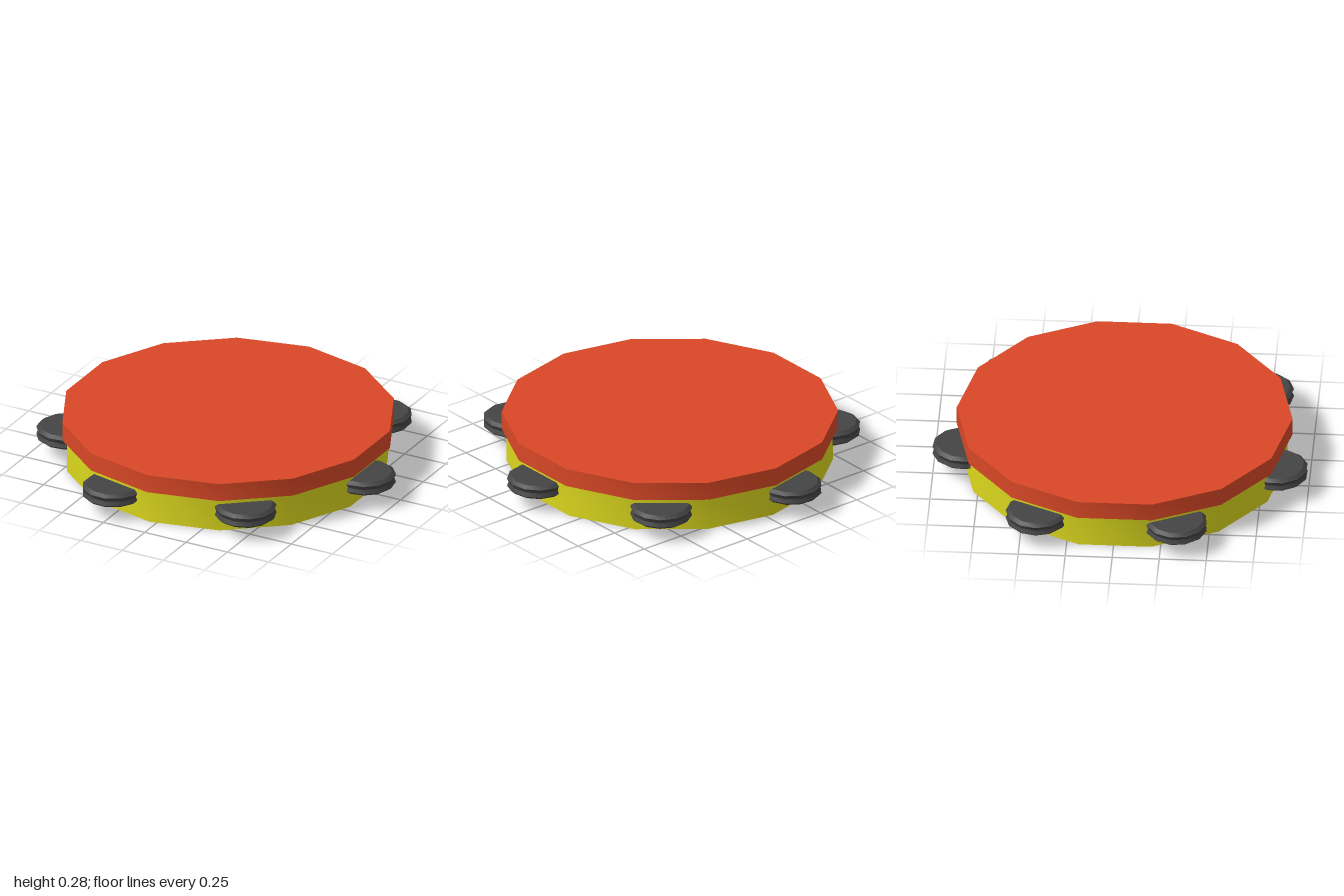
import * as THREE from 'three';
import { toCreasedNormals } from 'three/addons/utils/BufferGeometryUtils.js';

const SIDES = 14;
const JINGLES = 7;

// Revolved profile, smooth around the axis and sharp at the profile corners
function turned(profile, sides) {
  const points = profile.map(([r, y]) => new THREE.Vector2(r, y));
  return toCreasedNormals(new THREE.LatheGeometry(points, sides), 0.6);
}

function addMesh(parent, name, geometry, color) {
  const mesh = new THREE.Mesh(geometry, new THREE.MeshStandardMaterial({ color }));
  mesh.name = name;
  parent.add(mesh);
  return mesh;
}

export function createModel() {
  const tambourine = new THREE.Group();
  tambourine.name = 'tambourine';

  // The drum sits slightly off centre because the seven jingles are uneven about x
  const drum = new THREE.Group();
  drum.name = 'drum';
  drum.position.set(-0.04, 0, 0.007);
  tambourine.add(drum);

  // Frame: hollow from below, closed by a ceiling under the drum head
  addMesh(drum, 'frame', turned([
    [0, 0.16], [0.785, 0.16], [0.785, 0], [0.867, 0], [0.867, 0.19],
  ], SIDES), 0xdcd81e);

  // Drum head: a wider disc overhanging the frame
  const head = addMesh(drum, 'drumHead', turned([
    [0, 0], [0.893, 0], [0.893, 0.1], [0, 0.1],
  ], SIDES), 0xd94826);
  head.position.y = 0.185;

  // Jingles: bevelled discs with a shallow waist, set through the frame
  const jingleGeometry = turned([
    [0, -0.038], [0.145, -0.038], [0.165, -0.022], [0.156, 0],
    [0.165, 0.022], [0.145, 0.038], [0, 0.038],
  ], 12);
  for (let i = 0; i < JINGLES; i++) {
    const angle = 0.063 + (i / JINGLES) * Math.PI * 2;
    const jingle = addMesh(drum, `jingle${i + 1}`, jingleGeometry, 0x444444);
    jingle.position.set(0.86 * Math.cos(angle), 0.117, 0.86 * Math.sin(angle));
    jingle.rotation.y = Math.PI / 2 - angle;
  }

  return tambourine;
}
